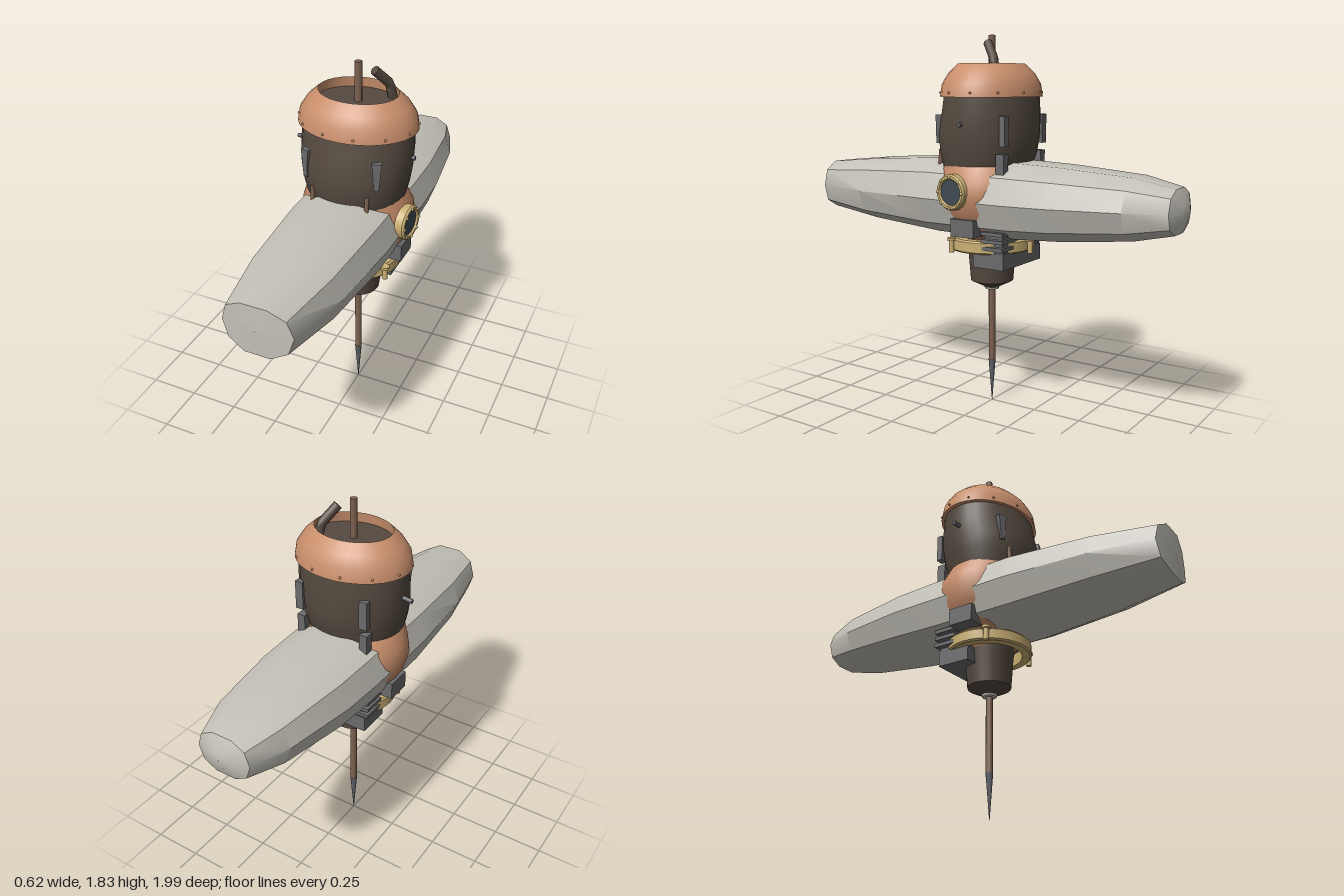
import * as THREE from 'three';
import { toCreasedNormals, mergeVertices } from 'three/addons/utils/BufferGeometryUtils.js';

const mat = (name, color) => new THREE.MeshStandardMaterial({ name, color });

// Skin over elliptical rings [t, rx, r2, centre2]; t runs along z, or along y when upright
function loft(rings, sides, upright, power = 1, bow = 0) {
  const pos = [], index = [];
  const soft = (v) => Math.sign(v) * Math.abs(v) ** power;
  for (const [t, rx, r2, c = 0] of rings) {
    for (let j = 0; j < sides; j++) {
      const a = (j / sides) * Math.PI * 2;
      const x = rx * soft(Math.cos(a)), b = r2 * soft(Math.sin(a));
      if (upright) pos.push(x, t, c - b);
      else pos.push(x, c + b, t > 0.9 ? t - bow * x * x : t);
    }
  }
  for (let i = 0; i < rings.length - 1; i++) {
    for (let j = 0; j < sides; j++) {
      const k = (j + 1) % sides, a = i * sides, b = a + sides;
      index.push(a + j, a + k, b + k, a + j, b + k, b + j);
    }
  }
  const g = new THREE.BufferGeometry();
  g.setAttribute('position', new THREE.Float32BufferAttribute(pos, 3));
  g.setIndex(index);
  return toCreasedNormals(mergeVertices(g), 0.65);
}

export function createModel() {
  const model = new THREE.Group();
  model.name = 'airship';
  const hullMat = mat('pale hull', 0xc4c1b8);
  const copper = mat('copper', 0xc98f6c);
  const brown = mat('dark brown', 0x554a40);
  const gold = mat('brass', 0xcbb074);
  const grey = mat('grey metal', 0x6a6a6d);
  const steel = mat('steel', 0x5c5f66);
  const rod = mat('rod brown', 0x7d6150);
  const glass = mat('dark glass', 0x3e4a52);

  const add = (name, geo, material, x = 0, y = 0, z = 0, parent = model) => {
    const m = new THREE.Mesh(geo, material);
    m.name = name;
    m.position.set(x, y, z);
    parent.add(m);
    return m;
  };
  const box = (name, m, w, h, d, x, y, z) => add(name, new THREE.BoxGeometry(w, h, d), m, x, y, z);
  const cyl = (name, m, r1, r2, h, x, y, z, n = 12) =>
    add(name, new THREE.CylinderGeometry(r1, r2, h, n), m, x, y, z);

  // Long horizontal hull: rounded tail, flat faceted nose
  add('hull', loft([
    [-1, 0.001, 0.001, 1.06], [-0.995, 0.05, 0.04, 1.06], [-0.965, 0.135, 0.105, 1.06],
    [-0.78, 0.2, 0.146, 1.06], [-0.42, 0.25, 0.178, 1.055], [-0.2, 0.257, 0.189, 1.053],
    [0.25, 0.257, 0.193, 1.055], [0.67, 0.225, 0.164, 1.057],
    [0.992, 0.165, 0.128, 1.06], [0.995, 0.001, 0.001, 1.06],
  ], 10, false, 0.85, 0.8), hullMat);

  // Upright body, copper belly and cap
  add('belly', loft([
    [0.8, 0.12, 0.11], [0.86, 0.15, 0.14], [0.9, 0.2, 0.18], [1.0, 0.257, 0.225],
    [1.08, 0.28, 0.24], [1.15, 0.27, 0.235], [1.22, 0.24, 0.21, 0.015],
  ], 32, true), copper);
  add('tower', loft([
    [1.2, 0.235, 0.208, 0.022], [1.28, 0.254, 0.23, 0.018], [1.36, 0.265, 0.238, 0.014],
    [1.46, 0.268, 0.226, 0.003], [1.56, 0.262, 0.214, -0.002],
  ], 32, true), brown);
  add('cap', loft([
    [1.54, 0.25, 0.2], [1.54, 0.285, 0.23], [1.6, 0.274, 0.222], [1.65, 0.24, 0.194],
    [1.69, 0.195, 0.155], [1.695, 0.188, 0.15], [1.62, 0.2, 0.16],
  ], 32, true), copper);
  add('capFloor', loft([[1.62, 0.2, 0.16], [1.645, 0.2, 0.16], [1.645, 0.001, 0.001]], 32, true), brown);
  for (let i = 0; i < 12; i++) {
    const a = ((i + 0.5) / 12) * Math.PI * 2;
    add('capRivet', new THREE.SphereGeometry(0.006, 6, 4), copper,
      0.283 * Math.cos(a), 1.56, 0.229 * Math.sin(a));
  }

  // Central shaft with pointed tip, and bent exhaust pipe
  cyl('shaft', rod, 0.017, 0.017, 1.61, 0, 1.025, 0);
  cyl('shaftTip', steel, 0.018, 0.001, 0.22, 0, 0.11, 0);
  const pipePath = new THREE.CurvePath();
  const p = [[0.13, 1.62, -0.1], [0.115, 1.715, -0.085], [0.068, 1.79, -0.022]].map((v) => new THREE.Vector3(...v));
  pipePath.add(new THREE.LineCurve3(p[0], p[1]));
  pipePath.add(new THREE.LineCurve3(p[1], p[2]));
  add('exhaustPipe', new THREE.TubeGeometry(pipePath, 10, 0.022, 10), brown);
  const mouth = add('exhaustMouth', new THREE.CircleGeometry(0.022, 10), brown, ...p[2].toArray());
  mouth.lookAt(p[2].clone().multiplyScalar(2).sub(p[1]));

  // Nozzle under the brass ring
  add('nozzle', loft([
    [0.85, 0.13, 0.13], [0.79, 0.122, 0.118], [0.635, 0.106, 0.106], [0.6, 0.035, 0.035], [0.6, 0.001, 0.001],
  ].reverse(), 24, true), brown);
  cyl('nozzleCollar', hullMat, 0.04, 0.035, 0.012, 0, 0.595, 0, 8);
  const ringProfile = [[0.165, 0.8], [0.205, 0.8], [0.213, 0.808], [0.213, 0.855], [0.205, 0.863], [0.165, 0.863], [0.165, 0.8]];
  const ring = new THREE.LatheGeometry(ringProfile.map((q) => new THREE.Vector2(...q)), 36);
  ring.scale(1, 1, 0.97);
  add('brassRing', toCreasedNormals(ring, 0.5), gold);
  for (const deg of [30, 150, 270]) {
    const a = (deg * Math.PI) / 180, x = 0.22 * Math.cos(a), z = 0.22 * Math.sin(a);
    cyl('ringBolt', gold, 0.013, 0.013, 0.07, x, 0.828, z);
    cyl('ringBoltHead', gold, 0.021, 0.021, 0.014, x, 0.858, z);
  }

  // Rear engine block with cooling plates
  box('engineBlock', grey, 0.35, 0.08, 0.17, 0, 0.77, -0.09);
  box('engineCore', grey, 0.34, 0.11, 0.1, 0, 0.86, -0.12);
  for (let i = 0; i < 3; i++) box('coolingPlate', grey, 0.4, 0.018, 0.12, 0, 0.832 + i * 0.036, -0.125);

  // Mirrored fittings
  for (const s of [-1, 1]) {
    box('sideBox', grey, 0.09, 0.085, 0.13, s * 0.21, 0.928, 0.005);
    box('rearClamp', grey, 0.04, 0.14, 0.03, s * 0.172, 1.385, -0.178);
    box('lowerRearClamp', grey, 0.04, 0.11, 0.045, s * 0.17, 1.225, -0.165);
    // tapered front bracket
    const shape = new THREE.Shape([[-0.022, 0.07], [0.022, 0.07], [0.012, -0.065], [-0.01, -0.065]].map((q) => new THREE.Vector2(...q)));
    const bracket = add('frontBracket',
      new THREE.ExtrudeGeometry(shape, { depth: 0.035, bevelEnabled: false }), grey, s * 0.165, 1.385, 0.168);
    bracket.rotation.y = s * 0.35;
    const strut = cyl('frontStrut', rod, 0.011, 0.011, 0.1, s * 0.135, 1.235, 0.212, 8);
    strut.rotation.x = -0.1;
    const len = s < 0 ? 0.07 : 0.035;
    const peg = cyl('sidePeg', steel, 0.011, 0.011, len, s * (s < 0 ? 0.277 : 0.264), 1.415, 0, 8);
    peg.rotation.z = Math.PI / 2 + (s < 0 ? 0.12 : 0);
  }

  // Round window on the left flank
  const port = new THREE.Group();
  port.name = 'porthole';
  port.position.set(0.276, 1.1, 0.045);
  port.rotation.y = Math.PI / 2 - 0.1;
  model.add(port);
  const rim = [[0.062, -0.03], [0.085, -0.03], [0.085, 0.008], [0.078, 0.018], [0.066, 0.018], [0.06, 0.008], [0.062, -0.03]];
  const rimMesh = add('portholeRim',
    toCreasedNormals(new THREE.LatheGeometry(rim.map((q) => new THREE.Vector2(...q)), 28), 0.5), gold, 0, 0, 0, port);
  rimMesh.rotation.x = Math.PI / 2;
  add('portholeGlass', new THREE.CircleGeometry(0.063, 28), glass, 0, 0, 0.009, port);
  for (let i = 0; i < 8; i++) {
    const a = (i / 8) * Math.PI * 2;
    add('portholeRivet', new THREE.SphereGeometry(0.008, 6, 5), gold,
      0.073 * Math.cos(a), 0.073 * Math.sin(a), 0.018, port);
  }
  return model;
}
